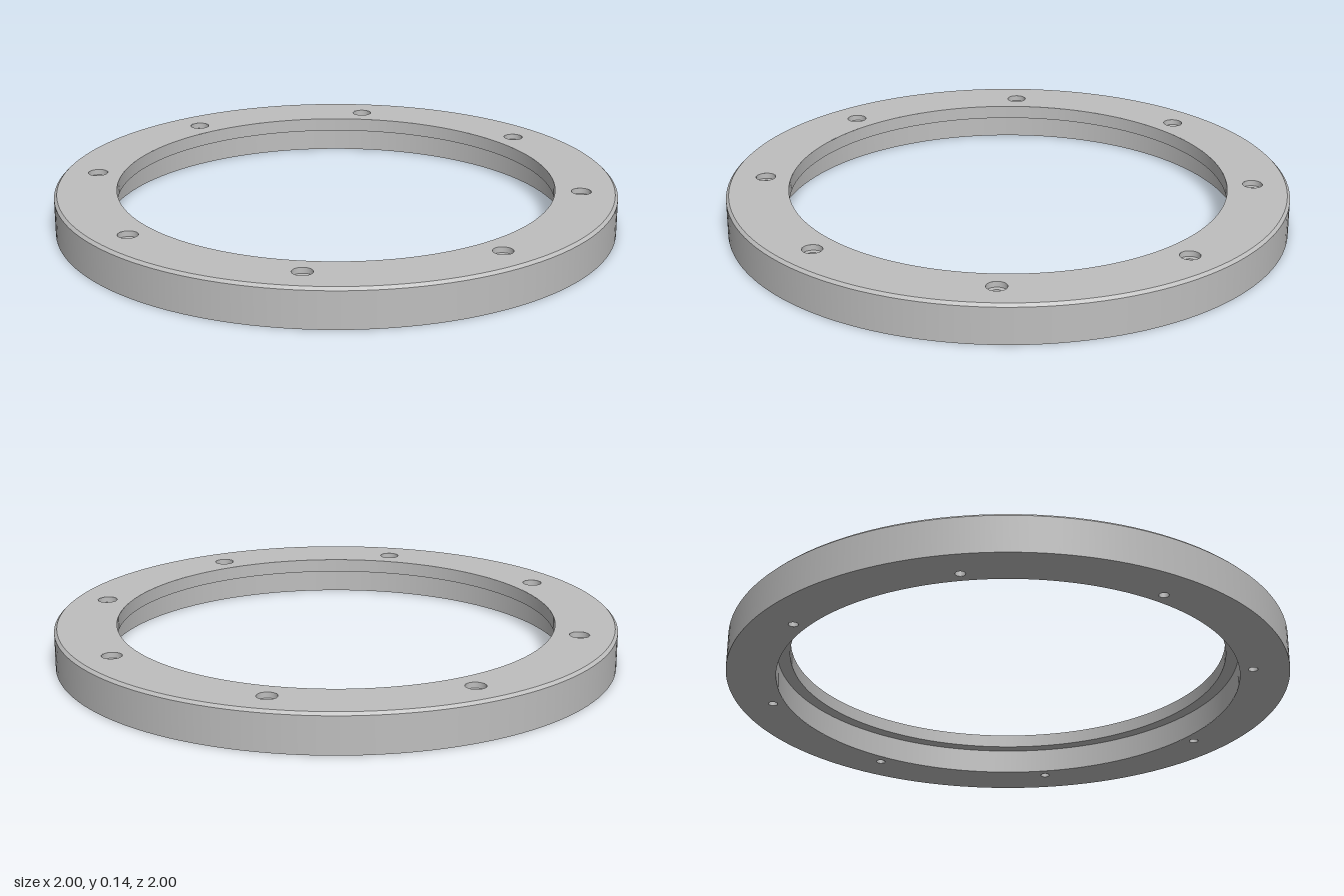
import * as THREE from 'three';

const SEG = 128, HOLE_SEG = 32;
const OUTER = 1, BEVEL = 0.01, HEIGHT = 0.14;
const INNER = 0.78, RECESS = 0.825, LEDGE_Y = 0.091;
const BOLT_CIRCLE = 0.872, BOLT_R = 0.017, BORE_R = 0.035, BORE_Y = 0.12;

export function createModel() {
  const group = new THREE.Group();
  const metal = new THREE.MeshStandardMaterial({ color: 0xbebebe });
  metal.name = 'grey metal';

  const add = (parent, name, geometry) => {
    const mesh = new THREE.Mesh(geometry, metal);
    mesh.name = name;
    parent.add(mesh);
    return mesh;
  };

  // One straight profile edge turned about y, so neighbouring edges stay sharp
  const turn = (parent, name, points, segments) => {
    for (let i = 0; i + 1 < points.length; i++) {
      const edge = [points[i], points[i + 1]].map(([r, y]) => new THREE.Vector2(r, y));
      add(parent, name, new THREE.LatheGeometry(edge, segments));
    }
  };

  const boltCentres = Array.from({ length: 8 }, (_, i) => {
    const a = Math.PI / 8 + i * Math.PI / 4;
    return [Math.cos(a) * BOLT_CIRCLE, Math.sin(a) * BOLT_CIRCLE];
  });

  // Flat annulus pierced by the bolt holes
  const face = (name, rOut, rIn, rHole, y, tilt) => {
    const shape = new THREE.Shape().absarc(0, 0, rOut, 0, Math.PI * 2, false);
    shape.holes.push(new THREE.Path().absarc(0, 0, rIn, 0, Math.PI * 2, true));
    for (const [x, z] of boltCentres) {
      shape.holes.push(new THREE.Path().absarc(x, z, rHole, 0, Math.PI * 2, true));
    }
    const geometry = new THREE.ShapeGeometry(shape, SEG);
    geometry.rotateX(tilt).translate(0, y, 0);
    add(group, name, geometry);
  };
  face('topFace', OUTER - BEVEL, INNER, BORE_R, HEIGHT, -Math.PI / 2);
  face('bottomFace', OUTER, RECESS, BOLT_R, 0, Math.PI / 2);

  // Outer rim with a small bevel at the top
  turn(group, 'outerRim',
    [[OUTER, 0], [OUTER, HEIGHT - BEVEL], [OUTER - BEVEL, HEIGHT]], SEG);

  // Inner lip, ledge and wider recess below it
  turn(group, 'innerStep',
    [[INNER, HEIGHT], [INNER, LEDGE_Y], [RECESS, LEDGE_Y], [RECESS, 0]], SEG);

  // Counterbored bolt holes
  for (const [x, z] of boltCentres) {
    const hole = new THREE.Group();
    hole.name = 'boltHole';
    hole.position.set(x, 0, z);
    turn(hole, 'boltHoleWall',
      [[BORE_R, HEIGHT], [BORE_R, BORE_Y], [BOLT_R, BORE_Y], [BOLT_R, 0]], HOLE_SEG);
    group.add(hole);
  }
  return group;
}
